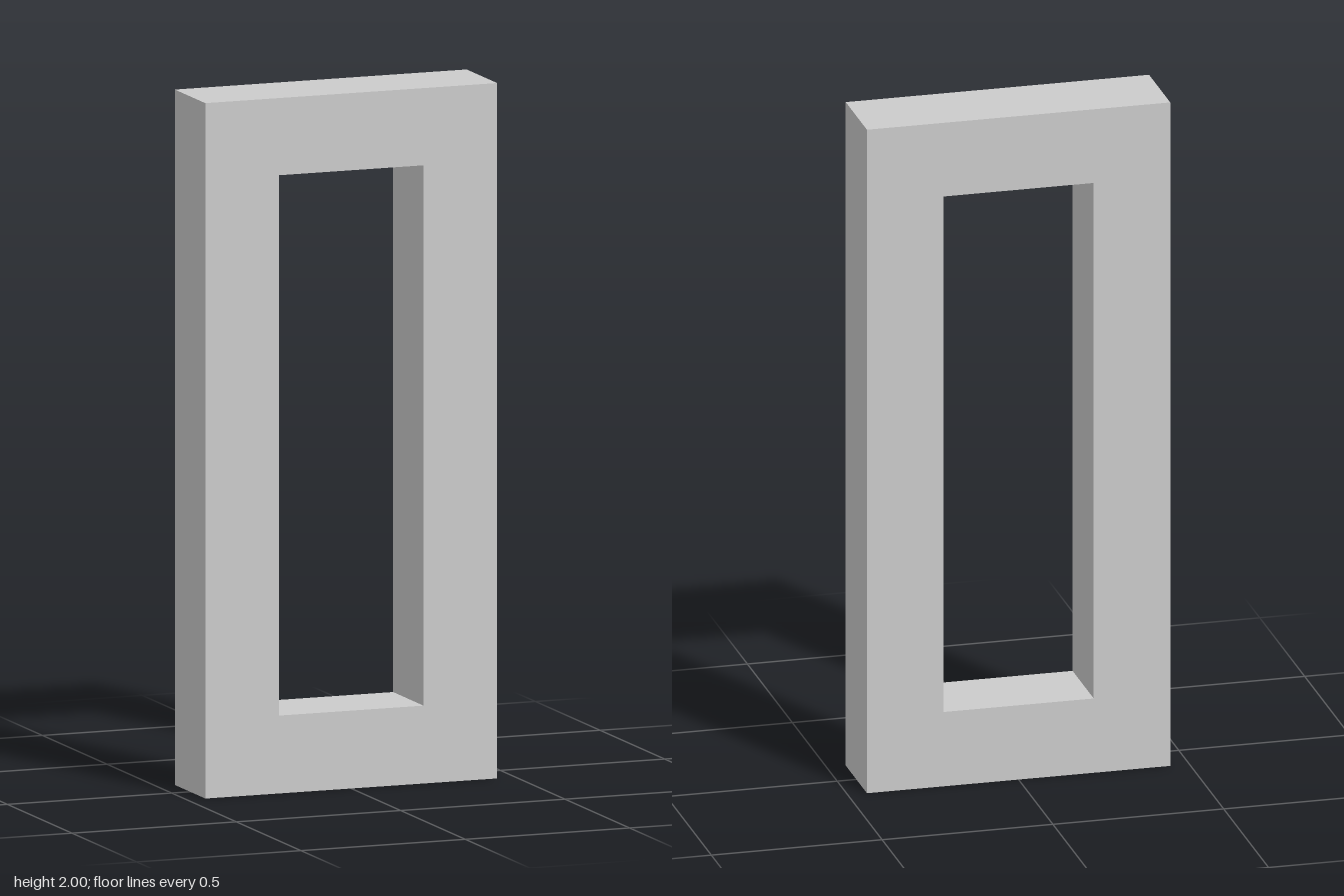
import * as THREE from 'three';

const WIDTH = 0.888, HEIGHT = 2, DEPTH = 0.236;
const HOLE_WIDTH = 0.44, HOLE_BOTTOM = 0.224, HOLE_TOP = 1.778;

// Rectangle centred on x = 0, as an outline or a hole
function rectangle(PathType, width, bottom, top) {
  const h = width / 2;
  return new PathType([
    new THREE.Vector2(-h, bottom),
    new THREE.Vector2(h, bottom),
    new THREE.Vector2(h, top),
    new THREE.Vector2(-h, top),
  ]);
}

export function createModel() {
  const group = new THREE.Group();
  group.name = 'rectangularFrame';

  // Upright slab with a rectangular opening right through it
  const outline = rectangle(THREE.Shape, WIDTH, 0, HEIGHT);
  outline.holes.push(rectangle(THREE.Path, HOLE_WIDTH, HOLE_BOTTOM, HOLE_TOP));
  const geometry = new THREE.ExtrudeGeometry(outline, { depth: DEPTH, bevelEnabled: false });
  geometry.translate(0, 0, -DEPTH / 2);

  const frame = new THREE.Mesh(
    geometry,
    new THREE.MeshStandardMaterial({ color: 0xcccccc, flatShading: true })
  );
  frame.name = 'frame';
  group.add(frame);
  return group;
}
